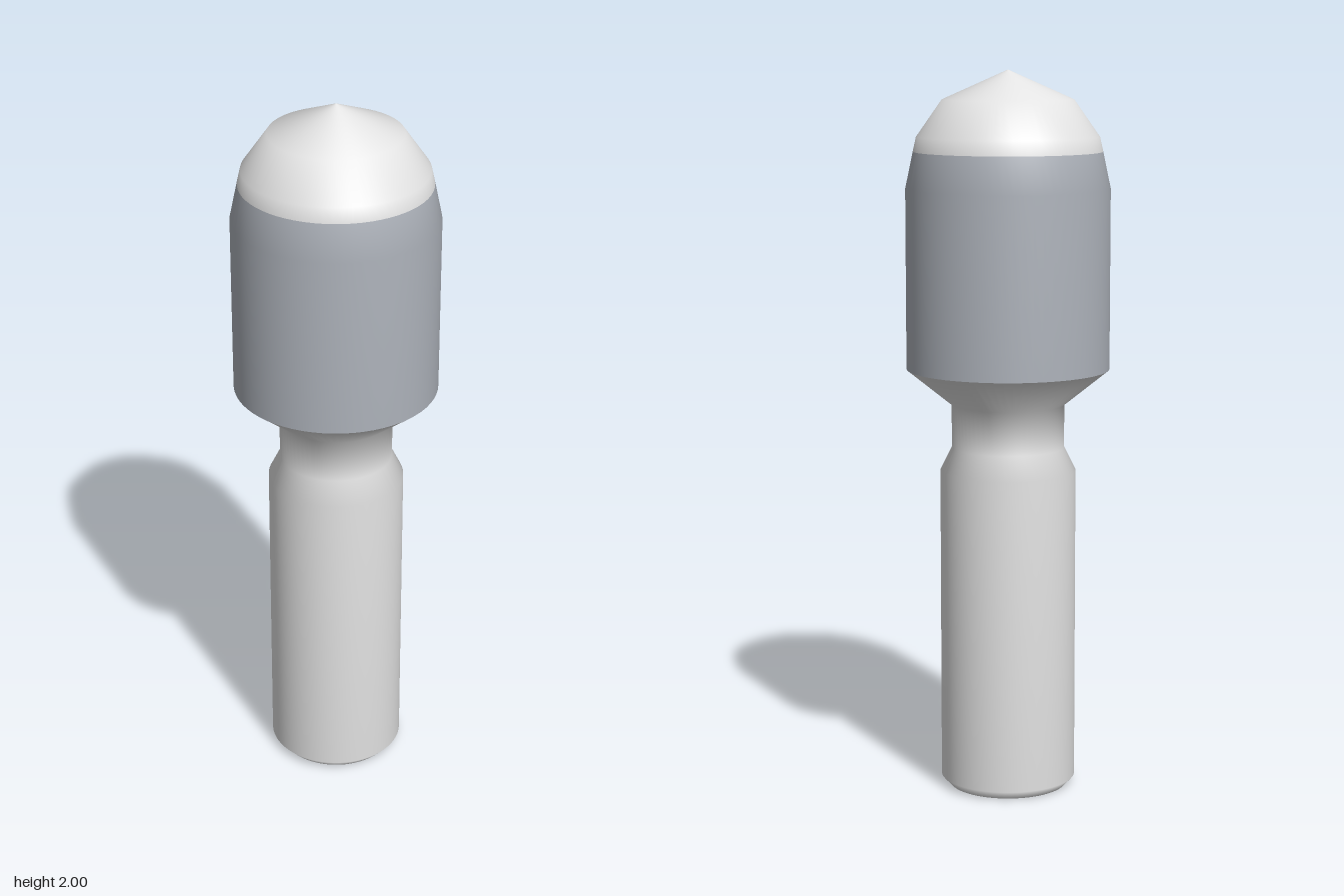
import * as THREE from 'three';

const SEGMENTS = 64;

// Revolves a bottom-to-top list of [radius, height] pairs
function turned(name, profile, material) {
  const points = profile.map(([r, y]) => new THREE.Vector2(r, y));
  const mesh = new THREE.Mesh(new THREE.LatheGeometry(points, SEGMENTS), material);
  mesh.name = name;
  return mesh;
}

export function createModel() {
  const paleGrey = new THREE.MeshStandardMaterial({ name: 'pale grey', color: 0xe2e2e2 });
  const steelGrey = new THREE.MeshStandardMaterial({ name: 'steel grey', color: 0xadb2ba });

  const model = new THREE.Group();
  model.name = 'turnedPeg';

  // Flat underside
  const base = new THREE.Mesh(new THREE.CircleGeometry(0.165, SEGMENTS), paleGrey);
  base.name = 'base';
  base.rotation.x = Math.PI / 2;

  model.add(
    base,
    // Handle with chamfered foot, narrow neck and flared collar
    turned('handle', [
      [0.165, 0], [0.188, 0.025], [0.188, 0.9], [0.156, 0.965],
      [0.156, 1.085], [0.28, 1.185],
    ], paleGrey),
    // Grey sleeve, tapering in at the top
    turned('sleeve', [[0.28, 1.185], [0.28, 1.68], [0.259, 1.78]], steelGrey),
    // Faceted-profile dome closing to a point
    turned('dome', [[0.259, 1.78], [0.25, 1.82], [0.18, 1.92], [0, 2]], paleGrey),
  );
  return model;
}
